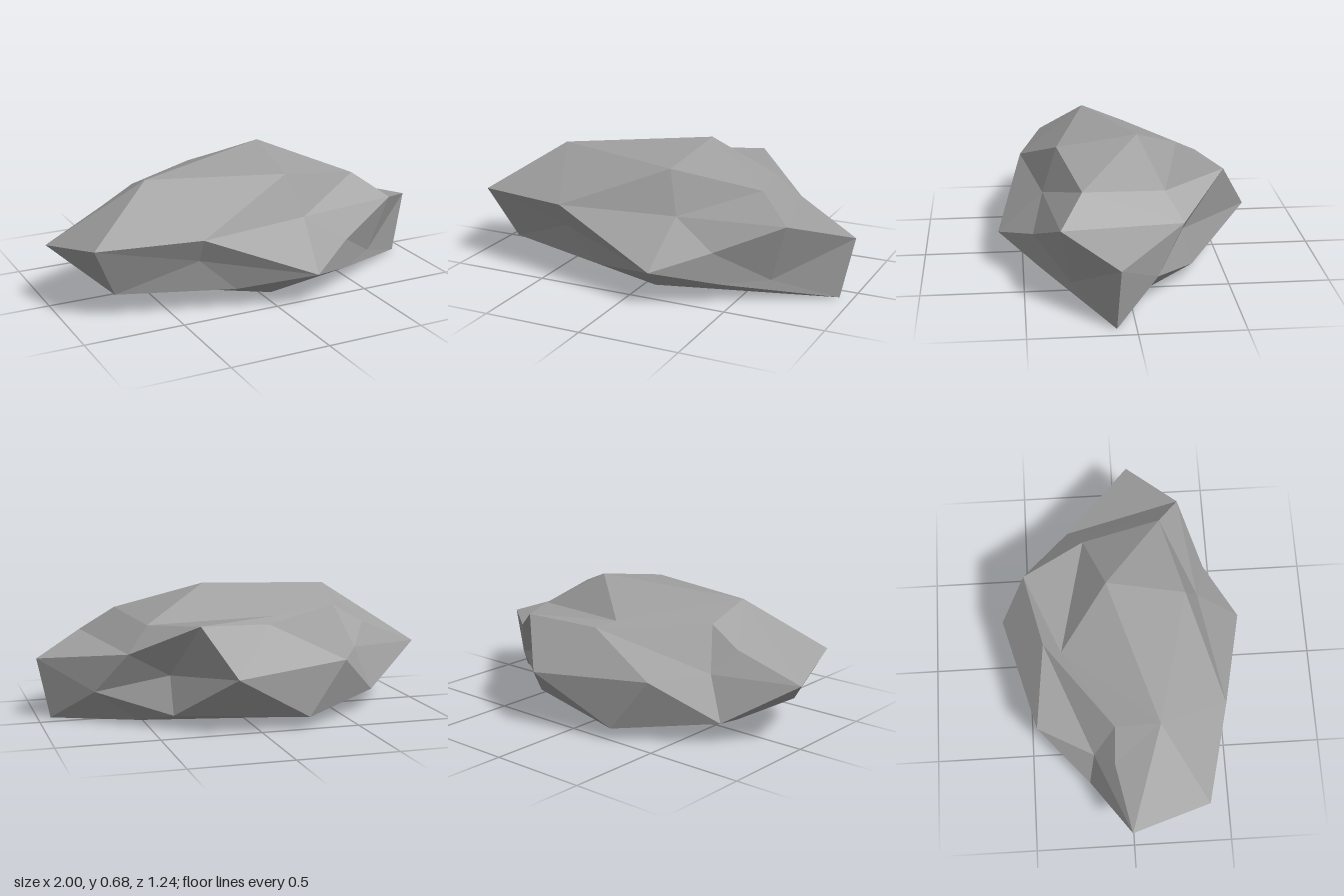
import * as THREE from 'three';

// Corner points of the boulder, grouped from crown to foot
const corners = {
  // crown
  C: [-0.54, 0.625, 0.15], D: [0.18, 0.68, -0.075], E: [0.135, 0.61, 0.32], F: [0.575, 0.53, 0.22],
  U: [0.49, 0.495, -0.18], V: [-0.12, 0.535, -0.315], W: [0.3, 0.53, -0.49], b: [-0.065, 0.51, -0.405],
  c: [-0.52, 0.54, -0.07], d: [-0.68, 0.445, -0.08],
  // waist
  A: [-1, 0.315, -0.01], B: [-0.89, 0.39, 0.375], Q: [-0.39, 0.405, 0.495], l: [0.2, 0.4, 0.395],
  G: [0.74, 0.405, 0.33], H: [1, 0.31, 0.075], T: [0.6, 0.37, -0.26], Y: [0.4, 0.26, -0.28],
  X: [0.15, 0.29, -0.62], f: [-0.445, 0.325, -0.46], e: [-0.6, 0.33, -0.18], k: [-0.385, 0.28, 0.43],
  S: [0.415, 0.265, 0.45], L: [0.16, 0.18, 0.62], h: [0.743, 0.165, -0.12],
  // foot
  N: [-0.765, 0.125, 0.29], M: [-0.2, 0.11, 0.45], K: [0.44, 0.1, 0.42], J: [0.65, 0.11, 0.28],
  I: [0.935, 0, 0.09], Z: [0.395, 0.07, -0.33], a: [-0.246, 0.06, -0.5], g: [-0.685, 0.11, -0.21],
  O: [-0.63, 0.06, 0], P: [-0.375, 0, 0.06], R: [0.055, 0, 0.33], i: [0.515, 0, -0.09], j: [-0.145, 0, -0.225],
};

// Each fan is a hub followed by its rim, counter-clockwise from outside
const fans = [
  'DEFUVCE',   // summit
  'cCVbedC',   // upper left shoulder
  'lQLSGFEQ',  // front brow
  'kBNMLQB',   // front left hollow
  'JSKIHGS',   // front right corner
  'TGHhYWUFG', // right shoulder
  'XWYZafbW',  // back point
  'ABCdegONB', // left tip
  'RLMPiIKL',  // front underside
  'jZiPOgaZ',  // back underside
  'QECB', 'WbVU', 'SLK', 'hHIiZY', 'fageb', 'PMNO', // facets between them
];

function rockGeometry() {
  const positions = [];
  for (const [hub, ...rim] of fans) {
    for (let n = 0; n < rim.length - 1; n++) {
      positions.push(...corners[hub], ...corners[rim[n]], ...corners[rim[n + 1]]);
    }
  }
  const geometry = new THREE.BufferGeometry();
  geometry.setAttribute('position', new THREE.Float32BufferAttribute(positions, 3));
  geometry.computeVertexNormals();
  return geometry;
}

export function createModel() {
  const stone = new THREE.MeshStandardMaterial({ color: 0xa0a0a0, flatShading: true });
  stone.name = 'grey stone';

  const rock = new THREE.Mesh(rockGeometry(), stone);
  rock.name = 'rock';

  const model = new THREE.Group();
  model.name = 'boulder';
  model.add(rock);
  return model;
}
